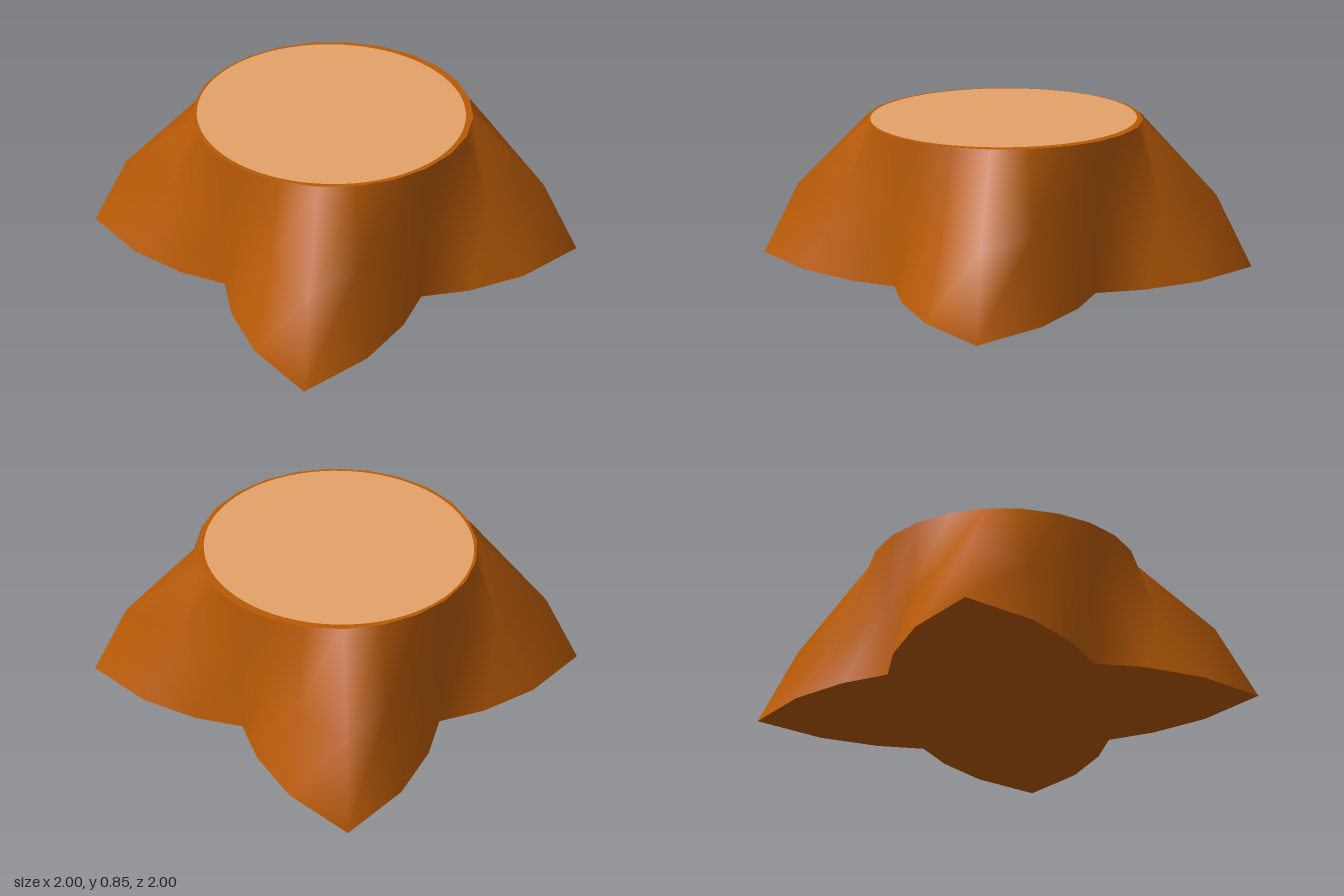
import * as THREE from 'three';

const SEGMENTS = 24;
const HEIGHT = 0.845;
const TOP_RADIUS = 0.78;

// Radii from the valley (0 deg) to the root tip (45 deg), one per 15 degrees.
const LEVELS = [
  { y: 0, radii: [0.78, 0.94, 1.155, 1.414] },
  { y: 0.42, radii: [0.78, 0.805, 0.925, 1.2] },
  { y: HEIGHT, radii: [0.78, 0.78, 0.78, 0.78] },
];

// Ring of points that repeats and mirrors the radii for the four roots.
function ring({ y, radii }) {
  return Array.from({ length: SEGMENTS }, (_, i) => {
    const step = i % 6;
    const r = radii[Math.min(step, 6 - step)];
    const a = (i / SEGMENTS) * Math.PI * 2;
    return [r * Math.sin(a), y, r * Math.cos(a)];
  });
}

function makeGeometry(points, index) {
  const geometry = new THREE.BufferGeometry();
  geometry.setAttribute('position', new THREE.Float32BufferAttribute(points.flat(), 3));
  geometry.setIndex(index);
  geometry.computeVertexNormals();
  return geometry;
}

// Smooth flared trunk wall lofted through the rings.
function barkGeometry() {
  const index = [];
  for (let l = 0; l < LEVELS.length - 1; l++) {
    for (let i = 0; i < SEGMENTS; i++) {
      const j = (i + 1) % SEGMENTS;
      const a = l * SEGMENTS + i, b = l * SEGMENTS + j;
      const c = b + SEGMENTS, d = a + SEGMENTS;
      index.push(a, b, c, a, c, d);
    }
  }
  return makeGeometry(LEVELS.flatMap(ring), index);
}

// Star-shaped underside, facing down.
function undersideGeometry() {
  const index = [];
  for (let i = 0; i < SEGMENTS; i++) index.push(SEGMENTS, (i + 1) % SEGMENTS, i);
  return makeGeometry([...ring(LEVELS[0]), [0, 0, 0]], index);
}

export function createModel() {
  const bark = new THREE.MeshStandardMaterial({ color: 0xb85a06 });
  bark.name = 'bark';
  const wood = new THREE.MeshStandardMaterial({ color: 0xe6a368 });
  wood.name = 'cutWood';

  const group = new THREE.Group();
  group.name = 'treeStump';
  const add = (name, geometry, material) => {
    const mesh = new THREE.Mesh(geometry, material);
    mesh.name = name;
    group.add(mesh);
    return mesh;
  };

  add('flaredTrunk', barkGeometry(), bark);
  add('underside', undersideGeometry(), bark);

  // Flat cut top with a narrow bark rim around the wood.
  const rim = add('barkRim', new THREE.CircleGeometry(TOP_RADIUS, SEGMENTS), bark);
  rim.rotation.x = -Math.PI / 2;
  rim.position.y = HEIGHT;
  const cut = add('cutFace', new THREE.CircleGeometry(1, 72), wood);
  cut.scale.set(0.757, 0.742, 1);
  cut.rotation.x = -Math.PI / 2;
  cut.position.set(-0.003, HEIGHT + 0.002, 0.01);

  return group;
}
